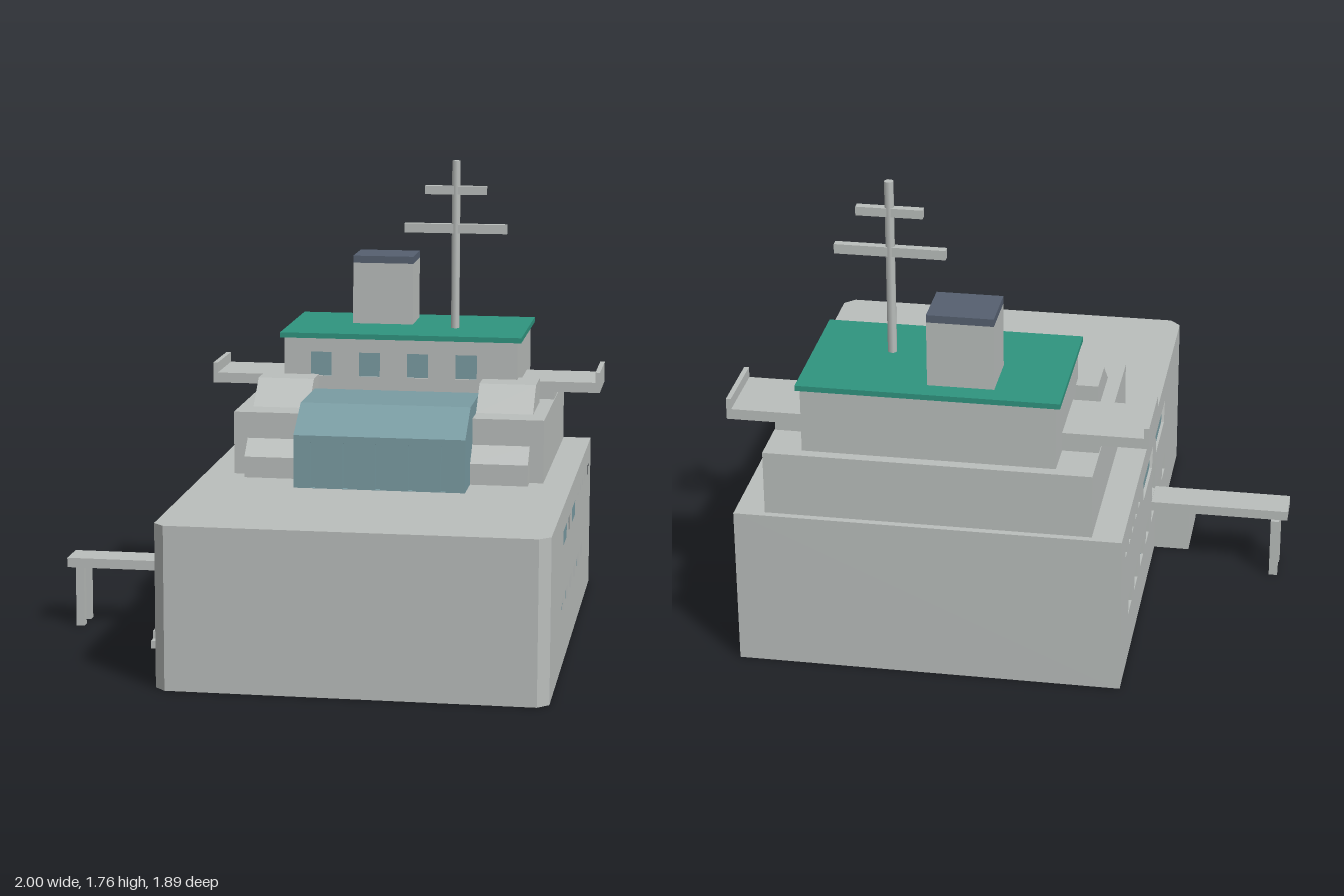
import * as THREE from 'three';

const mat = (name, color) => Object.assign(new THREE.MeshStandardMaterial({ color }), { name });

export function createModel() {
  const model = new THREE.Group();
  model.name = 'shipSection';
  const grey = mat('paintedSteel', 0xbabebc);
  const glass = mat('blueGlass', 0x7a9ca3);
  const green = mat('greenRoof', 0x2f947f);
  const slate = mat('slateCap', 0x566070);

  const CX = 0.2275;     // centreline of the ship
  const RECESS = 0.014;  // depth of window reveals

  const add = (name, geo, material, parent = model) => {
    const m = new THREE.Mesh(geo, material);
    m.name = name;
    parent.add(m);
    return m;
  };
  // Box given by its limits on each axis
  const box = (name, material, x0, x1, y0, y1, z0, z1) => {
    const m = add(name, new THREE.BoxGeometry(x1 - x0, y1 - y0, z1 - z0), material);
    m.position.set((x0 + x1) / 2, (y0 + y1) / 2, (z0 + z1) / 2);
    return m;
  };
  const poly = pts => new THREE.Shape(pts.map(p => new THREE.Vector2(...p)));
  const rect = (u0, u1, v0, v1) => [[u0, v0], [u1, v0], [u1, v1], [u0, v1]];
  const extrude = (shape, depth) =>
    new THREE.ExtrudeGeometry(shape, { depth, bevelEnabled: false, curveSegments: 6 });
  // Profile in (z, y), extruded between x0 and x1
  const profile = (name, material, pts, x0, x1) => {
    const geo = extrude(poly(pts.map(([z, y]) => [-z, y])), x1 - x0);
    geo.rotateY(Math.PI / 2).translate(x0, 0, 0);
    return add(name, geo, material);
  };
  // Wall facing local +z, with openings backed by glass
  const windowWall = (name, outline, openings) => {
    const g = new THREE.Group();
    g.name = name;
    const shape = poly(outline);
    openings.forEach(o => shape.holes.push(poly(o)));
    add('wallPlate', extrude(shape, RECESS), grey, g);
    openings.forEach(o => add('windowPane', extrude(poly(o), 0.003), glass, g));
    model.add(g);
    return g;
  };

  // Hull core with chamfered front corners
  const W = 0.7025, I = W - RECESS;
  const plan = [[-I, 0.945], [I, 0.945], [I, -0.905], [W, -0.905], [W - 0.04, -0.945],
    [-W + 0.04, -0.945], [-W, -0.905], [-I, -0.905]];
  add('hull', extrude(poly(plan), 0.6).rotateX(-Math.PI / 2), grey).position.x = CX;

  // Hull openings, in (z, y)
  const openings = [];
  for (let i = 0; i < 7; i++) {
    const z = 0.387 - i * 0.176;
    openings.push(rect(z - 0.05, z + 0.05, 0.18, 0.255));
  }
  for (let i = 0; i < 5; i++) {
    const z = -0.424 - i * 0.0955;
    openings.push(rect(z - 0.023, z + 0.023, 0.475, 0.516));
  }
  for (const z of [0.24, -0.155])
    openings.push([[z - 0.132, 0.42], [z + 0.132, 0.42], [z + 0.157, 0.506], [z - 0.157, 0.506]]);
  const door = rect(-0.005, 0.095, 0.272, 0.415);

  for (const s of [1, -1]) {
    const flip = pts => pts.map(([z, y]) => [-s * z, y]);
    const list = s > 0 ? openings : [...openings, door];
    const wall = windowWall(s > 0 ? 'leftHullSide' : 'rightHullSide',
      flip(rect(-0.945, 0.905, 0, 0.6)), list.map(flip));
    wall.rotation.y = s * Math.PI / 2;
    wall.position.x = CX + s * I;
  }

  // Superstructure decks
  box('lowerDeckhouse', grey, -0.365, 0.82, 0.6, 0.84, -0.92, 0);
  box('bridgeHouse', grey, -0.23, 0.685, 0.84, 1.08, -0.88, -0.34 - RECESS);
  const bridgeWindows = [-0.085, 0.105, 0.295, 0.485].map(x => rect(x - 0.042, x + 0.042, 0.93, 1.025));
  windowWall('bridgeFront', rect(-0.23, 0.685, 0.84, 1.08), bridgeWindows).position.z = -0.34 - RECESS;
  box('bridgeRoof', green, -0.245, 0.7, 1.08, 1.1, -0.89, -0.325);

  // Glazed atrium with slotted front
  profile('atrium', glass, [[-0.248, 0.6], [0.213, 0.6], [0.213, 0.79], [0.228, 0.79],
    [0.228, 0.8], [0.065, 0.895], [-0.248, 0.895]], -0.095, 0.55);
  const front = poly(rect(-0.095, 0.55, 0.6, 0.79));
  for (let i = 0; i < 5; i++) {
    const x = -0.022 + i * 0.1225, slot = new THREE.Path();
    slot.moveTo(x - 0.009, 0.602);
    slot.lineTo(x + 0.009, 0.602);
    slot.lineTo(x + 0.009, 0.77);
    slot.absarc(x, 0.77, 0.009, 0, Math.PI, false);
    slot.closePath();
    front.holes.push(slot);
  }
  add('atriumFront', extrude(front, 0.015), glass).position.z = 0.213;

  // Sloped housings and bridge wings on both sides
  for (const s of [1, -1]) {
    const span = (a, b) => s > 0 ? [CX + a, CX + b] : [CX - b, CX - a];
    const side = s > 0 ? 'left' : 'right';
    profile(side + 'LowerHousing', grey,
      [[-0.02, 0.6], [0.068, 0.6], [0.068, 0.68], [0, 0.74], [-0.02, 0.74]], ...span(0.3225, 0.54));
    profile(side + 'UpperHousing', grey,
      [[-0.395, 0.84], [-0.12, 0.84], [-0.232, 0.935], [-0.395, 0.935]], ...span(0.3225, 0.54));
    box(side + 'WingSupport', grey, ...span(0.45, 0.59), 0.84, 0.87, -0.735, -0.465);
    box(side + 'BridgeWing', grey, ...span(0.45, 0.768), 0.87, 0.91, -0.735, -0.465);
    box(side + 'WingRail', grey, ...span(0.75, 0.768), 0.91, 0.95, -0.735, -0.465);
  }

  // Funnel
  box('funnel', grey, 0, 0.24, 1.1, 1.343, -0.812, -0.61);
  box('funnelCap', slate, 0, 0.24, 1.343, 1.371, -0.812, -0.61);

  // Mast with two yards
  add('mast', new THREE.CylinderGeometry(0.017, 0.017, 0.66, 8).rotateY(Math.PI / 8), grey)
    .position.set(0.416, 1.43, -0.555);
  box('lowerYard', grey, 0.214, 0.618, 1.476, 1.512, -0.57, -0.54);
  box('upperYard', grey, 0.294, 0.536, 1.628, 1.661, -0.57, -0.54);

  // Gangway, its posts and the stairs
  box('gangway', grey, -1, -0.475, 0.233, 0.27, -0.118 + 0.1, 0.115);
  for (const z of [-0.034, 0.07]) box('gangwayPost', grey, -0.97, -0.938, 0, 0.233, z, z + 0.032);
  const steps = [[0.115, 0], [0.39, 0]];
  for (let i = 0; i < 8; i++) {
    const z = 0.39 - i * 0.0344, y = (i + 1) * 0.0295;
    steps.push([z, y], [z - 0.0344, y]);
  }
  steps.splice(-1, 1, [0.115, 0.236]);
  profile('stairs', grey, steps, -0.61, -0.475);

  return model;
}
